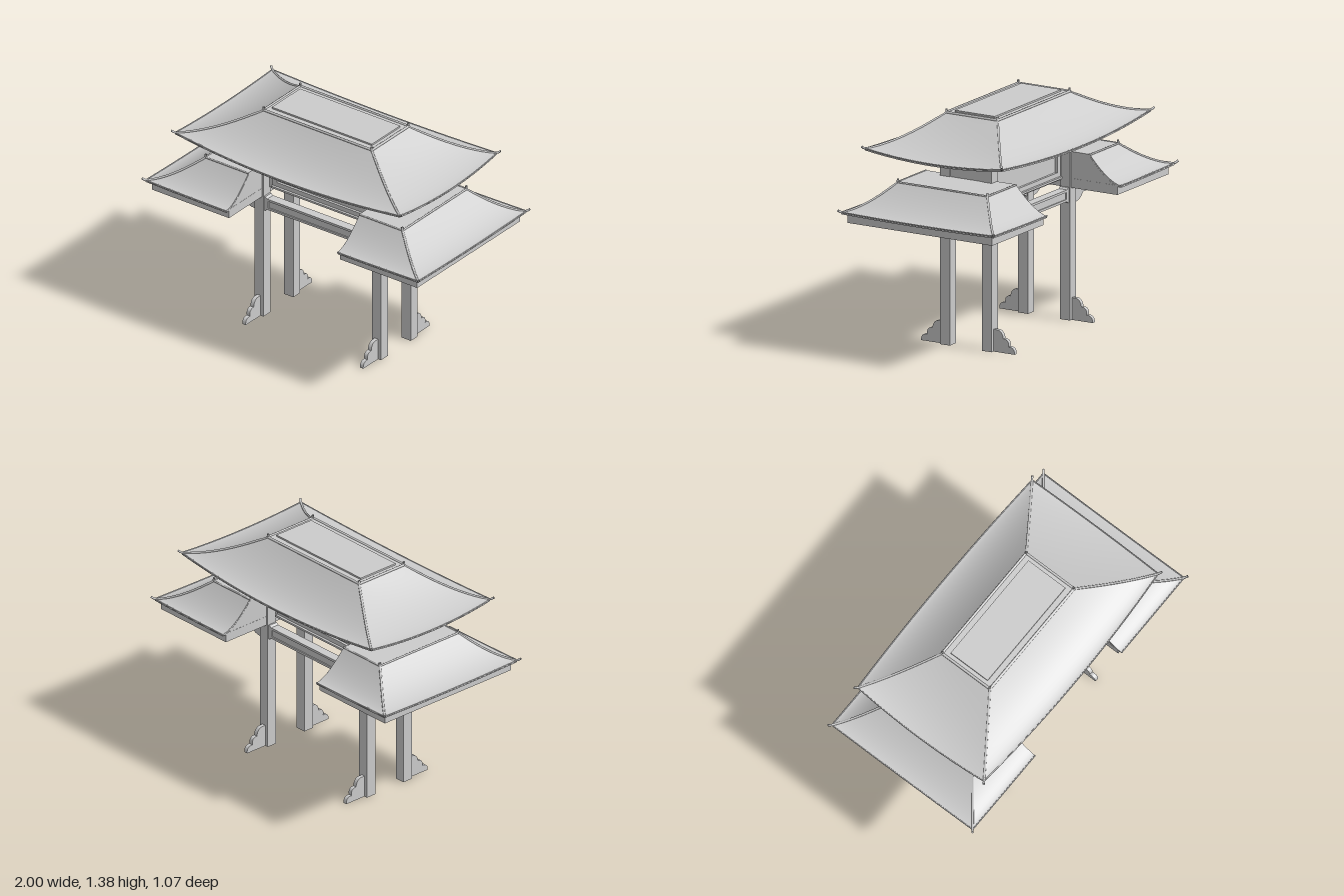
import * as THREE from 'three';
import { ParametricGeometry } from 'three/addons/geometries/ParametricGeometry.js';

const mat = new THREE.MeshStandardMaterial({ color: 0xcccccc, side: THREE.DoubleSide });
const V = (x, y, z) => new THREE.Vector3(x, y, z);
const FALL = 1.6; // steep at the top, flat at the eave
const THICK = 0.012;

function add(parent, name, geometry, x = 0, y = 0, z = 0) {
  const m = new THREE.Mesh(geometry, mat);
  m.name = name;
  m.position.set(x, y, z);
  parent.add(m);
  return m;
}

// Box given by its limits on each axis
function box(parent, name, x0, x1, y0, y1, z0, z1) {
  return add(parent, name, new THREE.BoxGeometry(x1 - x0, y1 - y0, z1 - z0),
    (x0 + x1) / 2, (y0 + y1) / 2, (z0 + z1) / 2);
}

function rod(parent, name, points, r, segments = 24) {
  const curve = new THREE.CatmullRomCurve3(points);
  return add(parent, name, new THREE.TubeGeometry(curve, points.length > 2 ? segments : 1, r, 6));
}

function roofPoint(top, eave, t, target = V()) {
  target.lerpVectors(top, eave, t);
  target.y = THREE.MathUtils.lerp(top.y, eave.y, 1 - Math.pow(1 - t, FALL));
  return target;
}

// One curved slope: top skin, underside and eave rim; bulge moves the eave between its corners
function slope(parent, topA, topB, eaveA, eaveB, bulge, weight) {
  const top = V(), eave = V();
  const at = (u, t, p) => {
    top.lerpVectors(topA, topB, u);
    eave.lerpVectors(eaveA, eaveB, u).addScaledVector(bulge, weight(u));
    return roofPoint(top, eave, t, p);
  };
  add(parent, 'roofSlope', new ParametricGeometry((u, t, p) => at(u, t, p), 16, 12));
  add(parent, 'roofUnderside', new ParametricGeometry((u, t, p) => { at(1 - u, t, p); p.y -= THICK; }, 16, 12));
  add(parent, 'eaveRim', new ParametricGeometry((u, t, p) => { at(u, 1, p); p.y -= THICK * t; }, 16, 1));
  const edge = [];
  for (let i = 0; i <= 10; i++) edge.push(at(i / 10, 1, V()));
  rod(parent, 'eaveTrim', edge, 0.004);
}

// Hip ridge with a small horn at the top and an upturned tip at the eave
function hip(parent, top, eave) {
  const out = V(eave.x - top.x, 0, eave.z - top.z).normalize();
  const pts = [top.clone().addScaledVector(out, -0.003).add(V(0, 0.02, 0))];
  for (let i = 0; i <= 8; i++) pts.push(roofPoint(top, eave, i / 8));
  pts.push(eave.clone().addScaledVector(out, 0.022).add(V(0, 0.012, 0)));
  rod(parent, 'hipRidge', pts, 0.007, 32);
}

function mainRoof() {
  const g = new THREE.Group();
  g.name = 'mainRoof';
  const signs = [[1, 1], [-1, 1], [-1, -1], [1, -1]];
  const tops = signs.map(([x, z]) => V(x * 0.39, 1.362, z * 0.175));
  const eaves = signs.map(([x, z]) => V(x * 0.808, 1.2, z * 0.462));
  const bulges = [V(0, -0.036, 0.028), V(-0.014, -0.028, 0), V(0, -0.036, -0.028), V(0.014, -0.028, 0)];
  for (let i = 0; i < 4; i++) {
    const j = (i + 1) % 4;
    slope(g, tops[i], tops[j], eaves[i], eaves[j], bulges[i], u => 1 - (2 * u - 1) ** 2);
    hip(g, tops[i], eaves[i]);
    rod(g, 'topRidge', [tops[i], tops[j]], 0.008);
  }
  // Flat crown with a raised panel
  box(g, 'roofCrown', -0.39, 0.39, 1.35, 1.363, -0.175, 0.175);
  box(g, 'crownPanel', -0.36, 0.36, 1.36, 1.373, -0.135, 0.135);
  return g;
}

function sideRoof() {
  const g = new THREE.Group();
  g.name = 'sideRoof';
  const tops = [V(0.4, 1.0, -0.305), V(0.71, 1.0, -0.305), V(0.71, 1.0, 0.305), V(0.4, 1.0, 0.305)];
  const eaves = [V(0.4, 0.852, -0.515), V(0.98, 0.852, -0.515), V(0.98, 0.852, 0.515), V(0.4, 0.852, 0.515)];
  const sag = V(0, -0.007, 0);
  const weights = [u => 1 - u * u, u => 1 - (2 * u - 1) ** 2, u => 1 - (1 - u) ** 2];
  weights.forEach((w, i) => {
    slope(g, tops[i], tops[i + 1], eaves[i], eaves[i + 1], sag, w);
    rod(g, 'topRidge', [tops[i], tops[i + 1]], 0.006);
  });
  hip(g, tops[1], eaves[1]);
  hip(g, tops[2], eaves[2]);
  box(g, 'roofCrown', 0.4, 0.71, 0.99, 1.002, -0.305, 0.305);
  // Inner gable closing the roof
  const s = new THREE.Shape();
  const side = [];
  for (let i = 0; i <= 10; i++) side.push(roofPoint(V(0, 1.0, 0.305), V(0, 0.845, 0.515), i / 10));
  s.moveTo(-0.515, 0.835);
  [...side].reverse().forEach(p => s.lineTo(-p.z, p.y));
  side.forEach(p => s.lineTo(p.z, p.y));
  s.lineTo(0.515, 0.835);
  add(g, 'innerGable', new THREE.ShapeGeometry(s), 0.401).rotation.y = -Math.PI / 2;
  // Slab under the eaves
  box(g, 'eaveSlab', 0.4, 0.955, 0.787, 0.843, -0.49, 0.49);
  return g;
}

// Scalloped foot: local x runs outward from the post
function footGeometry() {
  const s = new THREE.Shape();
  s.moveTo(0, 0);
  s.lineTo(0.142, 0);
  s.bezierCurveTo(0.145, 0.03, 0.125, 0.046, 0.1, 0.04);
  s.bezierCurveTo(0.108, 0.07, 0.09, 0.088, 0.066, 0.084);
  s.bezierCurveTo(0.064, 0.115, 0.045, 0.132, 0.028, 0.132);
  s.lineTo(0, 0.132);
  return new THREE.ExtrudeGeometry(s, { depth: 0.024, bevelEnabled: false, curveSegments: 8 }).translate(0, 0, -0.012);
}

// Scalloped bracket: local x runs outward, top at y = 0
function bracketGeometry() {
  const s = new THREE.Shape();
  s.moveTo(0, 0);
  s.lineTo(0, -0.102);
  s.bezierCurveTo(0.05, -0.102, 0.075, -0.088, 0.095, -0.058);
  s.bezierCurveTo(0.14, -0.064, 0.18, -0.055, 0.195, -0.034);
  s.bezierCurveTo(0.225, -0.036, 0.238, -0.02, 0.238, 0);
  return new THREE.ExtrudeGeometry(s, { depth: 0.045, bevelEnabled: false, curveSegments: 10 }).translate(0, 0, -0.0225);
}

function post(sx, sz) {
  const g = new THREE.Group();
  g.name = 'postAssembly';
  const cx = sx * 0.423, cz = sz * 0.142;
  box(g, 'post', cx - 0.033, cx + 0.033, 0, 1.17, cz - 0.033, cz + 0.033);
  add(g, 'footOrnament', footGeometry(), cx, 0, sz * 0.174).rotation.y = -sz * Math.PI / 2;
  add(g, 'bracket', bracketGeometry(), sx * 0.455, 0.788, cz).rotation.y = sx > 0 ? 0 : Math.PI;
  return g;
}

// Beam, panel frame and mouldings of one face
function faceDetails(sz) {
  const g = new THREE.Group();
  g.name = 'faceDetails';
  box(g, 'beam', -0.39, 0.39, 0.722, 0.768, 0.12, 0.164);
  for (const y of [0.71, 0.766]) box(g, 'beamMoulding', -0.37, 0.37, y, y + 0.014, 0.114, 0.17);
  for (const s of [-1, 1]) {
    const end = new THREE.Shape();
    end.moveTo(s * 0.39, 0.7);
    end.lineTo(s * 0.38, 0.7);
    end.lineTo(s * 0.36, 0.715);
    end.lineTo(s * 0.36, 0.775);
    end.lineTo(s * 0.38, 0.79);
    end.lineTo(s * 0.39, 0.79);
    add(g, 'beamEnd', new THREE.ExtrudeGeometry(end, { depth: 0.056, bevelEnabled: false }), 0, 0, 0.114);
  }
  for (const y of [0.846, 1.131]) box(g, 'panelMoulding', -0.36, 0.36, y, y + 0.012, 0.11, 0.145);
  // Raised frame around the sunken panel
  const frame = new THREE.Shape([[-0.36, 0.858], [0.36, 0.858], [0.36, 1.131], [-0.36, 1.131]]
    .map(p => new THREE.Vector2(...p)));
  frame.holes.push(new THREE.Path([[-0.327, 0.885], [-0.327, 1.103], [0.327, 1.103], [0.327, 0.885]]
    .map(p => new THREE.Vector2(...p))));
  add(g, 'panelFrame', new THREE.ExtrudeGeometry(frame, { depth: 0.02, bevelEnabled: false }), 0, 0, 0.11);
  if (sz < 0) g.rotation.y = Math.PI;
  return g;
}

export function createModel() {
  const model = new THREE.Group();
  model.name = 'gateway';
  for (const sx of [-1, 1]) for (const sz of [-1, 1]) model.add(post(sx, sz));
  // Central wall reaching up into the roof
  box(model, 'centralWall', -0.4, 0.4, 0.828, 1.26, -0.115, 0.115);
  for (const s of [-1, 1]) {
    model.add(faceDetails(s));
    const roof = sideRoof();
    if (s < 0) roof.rotation.y = Math.PI;
    model.add(roof);
    box(model, 'endWall', s > 0 ? 0.39 : -0.45, s > 0 ? 0.45 : -0.39, 0.828, 1.17, -0.112, 0.112);
  }
  model.add(mainRoof());
  return model;
}
